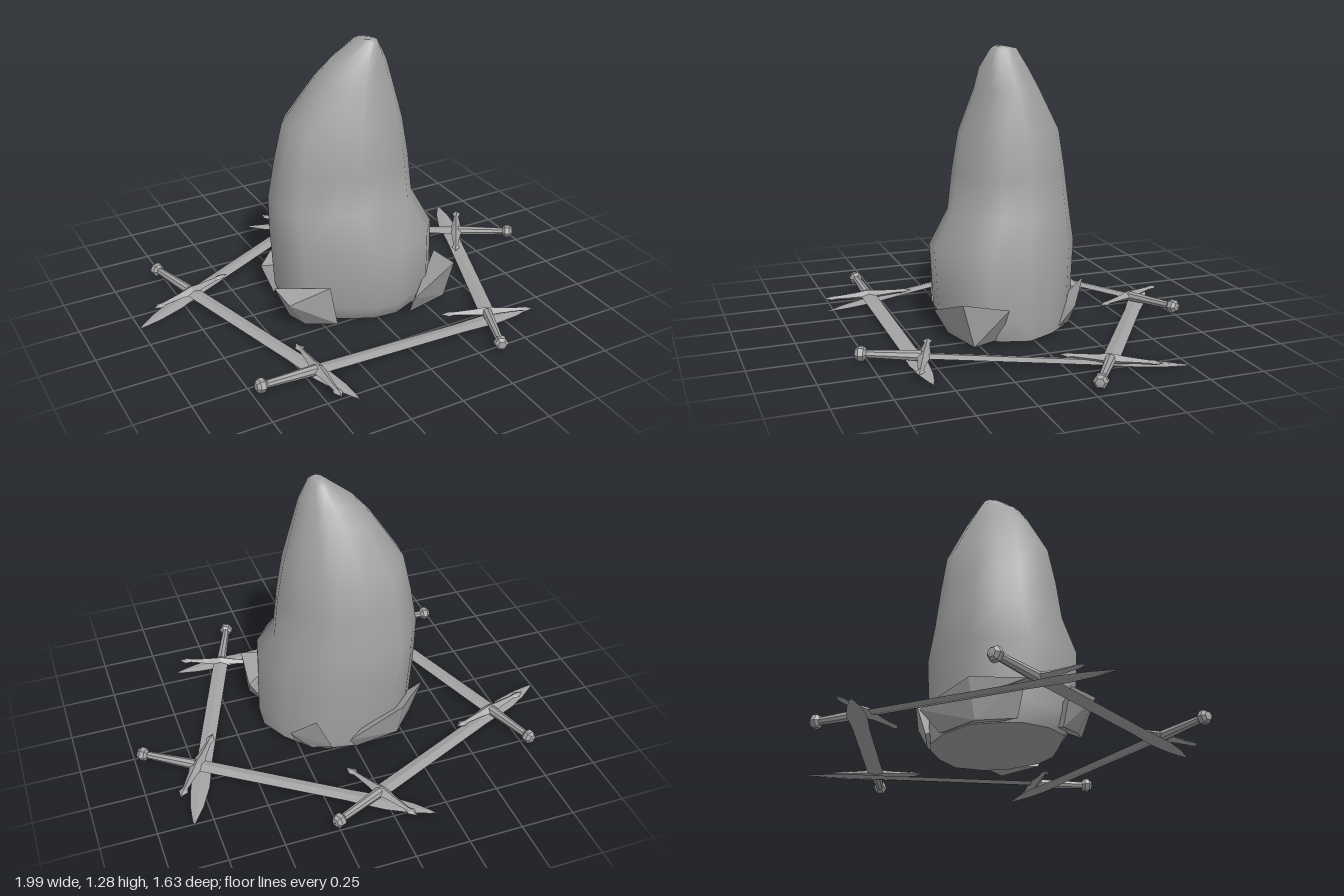
import * as THREE from 'three';
import { ConvexGeometry } from 'three/addons/geometries/ConvexGeometry.js';

const stone = new THREE.MeshStandardMaterial({ color: 0xa3a3a3 });
stone.name = 'grey';

function add(parent, name, geometry) {
  const mesh = new THREE.Mesh(geometry, stone);
  mesh.name = name;
  parent.add(mesh);
  return mesh;
}

function flat(geometry) {
  const g = geometry.index ? geometry.toNonIndexed() : geometry;
  g.computeVertexNormals();
  return g;
}

// Skin over a stack of closed rings, with both ends capped
function loft(rings) {
  const n = rings[0].length, pos = rings.flat(2), index = [];
  for (let i = 0; i < rings.length - 1; i++) {
    for (let j = 0; j < n; j++) {
      const a = i * n + j, b = i * n + (j + 1) % n;
      index.push(a, a + n, b, b, a + n, b + n);
    }
  }
  [0, rings.length - 1].forEach((r, top) => {
    const base = pos.length / 3;
    pos.push(...rings[r].flat());
    for (let j = 1; j < n - 1; j++) {
      if (top) index.push(base, base + j + 1, base + j);
      else index.push(base, base + j, base + j + 1);
    }
  });
  const g = new THREE.BufferGeometry();
  g.setAttribute('position', new THREE.Float32BufferAttribute(pos, 3));
  g.setIndex(index);
  g.computeVertexNormals();
  return g;
}

// Diamond sections along x: [x, half width, half thickness]
const diamondBar = (stations) => flat(loft(stations.map(([x, w, t]) =>
  [[x, 0, w], [x, t, 0], [x, 0, -w], [x, -t, 0]])));

function makeRock() {
  // Plan outline, running from +x through +z
  const outline = [
    [0.38, 0.04], [0.34, 0.19], [0.26, 0.29], [0.08, 0.37], [-0.04, 0.36], [-0.16, 0.3],
    [-0.33, 0.2], [-0.38, 0.06], [-0.37, -0.08], [-0.3, -0.19], [-0.21, -0.28],
    [-0.02, -0.31], [0.13, -0.28], [0.22, -0.22], [0.31, -0.11]];
  // Each level: y, x min, x max, z min, z max
  const levels = [
    [0.015, -0.33, 0.36, -0.27, 0.31], [0.1, -0.365, 0.375, -0.285, 0.365],
    [0.39, -0.38, 0.37, -0.305, 0.378], [0.54, -0.37, 0.3, -0.295, 0.28],
    [0.72, -0.34, 0.28, -0.27, 0.26], [0.9, -0.3, 0.25, -0.24, 0.23],
    [1.1, -0.17, 0.19, -0.13, 0.165], [1.19, -0.09, 0.155, -0.075, 0.15],
    [1.275, 0.02, 0.11, -0.015, 0.11], [1.287, 0.04, 0.08, 0.04, 0.09]];
  return loft(levels.map(([y, x0, x1, z0, z1]) => outline.map(([x, z]) => [
    x0 + (x + 0.38) / 0.76 * (x1 - x0), y, z0 + (z + 0.31) / 0.68 * (z1 - z0)])));
}

// Broken slabs leaning on the foot of the rock
const shards = [
  [[0.375, 0.22, 0.345], [0.395, 0.18, 0.14], [0.13, 0.13, 0.4], [0.36, 0.02, 0.29],
    [0.3, 0.02, 0.15], [0.14, 0.02, 0.34], [0.29, 0.15, 0.27]],
  [[-0.43, 0.18, 0.09], [-0.42, 0.16, 0.23], [-0.25, 0.24, 0.3], [-0.22, 0.05, 0.31],
    [-0.33, 0.02, 0.2], [-0.36, 0.02, 0.1], [-0.25, 0.05, 0.12]],
  [[-0.4, 0.18, -0.12], [-0.23, 0.2, -0.29], [0.06, 0.13, -0.35], [0, 0.02, -0.28],
    [-0.22, 0.02, -0.25], [-0.34, 0.02, -0.12], [-0.2, 0.12, -0.15]],
  [[0.2, 0.23, -0.29], [0.3, 0.13, -0.21], [0.12, 0.05, -0.28], [0.2, 0.02, -0.22],
    [0.26, 0.03, -0.15], [0.15, 0.1, -0.18]]];

// Sword lying along +x from its pommel at the origin
function makeSword() {
  const sword = new THREE.Group();
  sword.name = 'sword';
  add(sword, 'blade', diamondBar([
    [0.25, 0.037, 0.009], [1.0, 0.036, 0.008], [1.18, 0.043, 0.007],
    [1.3, 0.03, 0.005], [1.38, 0.011, 0.003], [1.41, 0.001, 0.001]]));
  add(sword, 'guard', diamondBar([
    [-0.215, 0.001, 0.002], [-0.18, 0.022, 0.011], [-0.155, 0.012, 0.01], [-0.06, 0.022, 0.016],
    [0, 0.034, 0.024], [0.06, 0.022, 0.016], [0.155, 0.012, 0.01], [0.18, 0.022, 0.011],
    [0.215, 0.001, 0.002]]).rotateY(Math.PI / 2)).position.x = 0.27;
  add(sword, 'grip', flat(new THREE.CylinderGeometry(0.017, 0.024, 0.25, 8)
    .rotateZ(Math.PI / 2))).position.x = 0.135;
  const pommel = new THREE.LatheGeometry([[0.001, -0.027], [0.02, -0.025], [0.032, -0.01],
    [0.032, 0.012], [0.018, 0.025], [0.001, 0.027]].map((p) => new THREE.Vector2(...p)), 6);
  add(sword, 'pommel', flat(pommel.rotateZ(-Math.PI / 2)));
  return sword;
}

export function createModel() {
  const model = new THREE.Group();
  model.name = 'rockWithSwords';
  add(model, 'rock', makeRock());
  for (const points of shards) {
    add(model, 'shard', new ConvexGeometry(points.map((p) => new THREE.Vector3(...p))));
  }
  // Ring of swords: pommel x, z then tip x, z
  const ring = [
    [-0.715, 0.565, 0.67, 0.565], [0.34, 0.785, 0.84, -0.505], [0.96, -0.03, -0.185, -0.8],
    [0.25, -0.735, -1.0, -0.14], [-0.775, -0.53, -0.37, 0.79]];
  for (const [px, pz, tx, tz] of ring) {
    const sword = makeSword();
    sword.position.set(px, 0.052, pz);
    sword.rotation.set(0, Math.atan2(pz - tz, tx - px), -0.032, 'YZX');
    sword.scale.x = Math.hypot(tx - px, tz - pz) / 1.41;
    model.add(sword);
  }
  return model;
}
